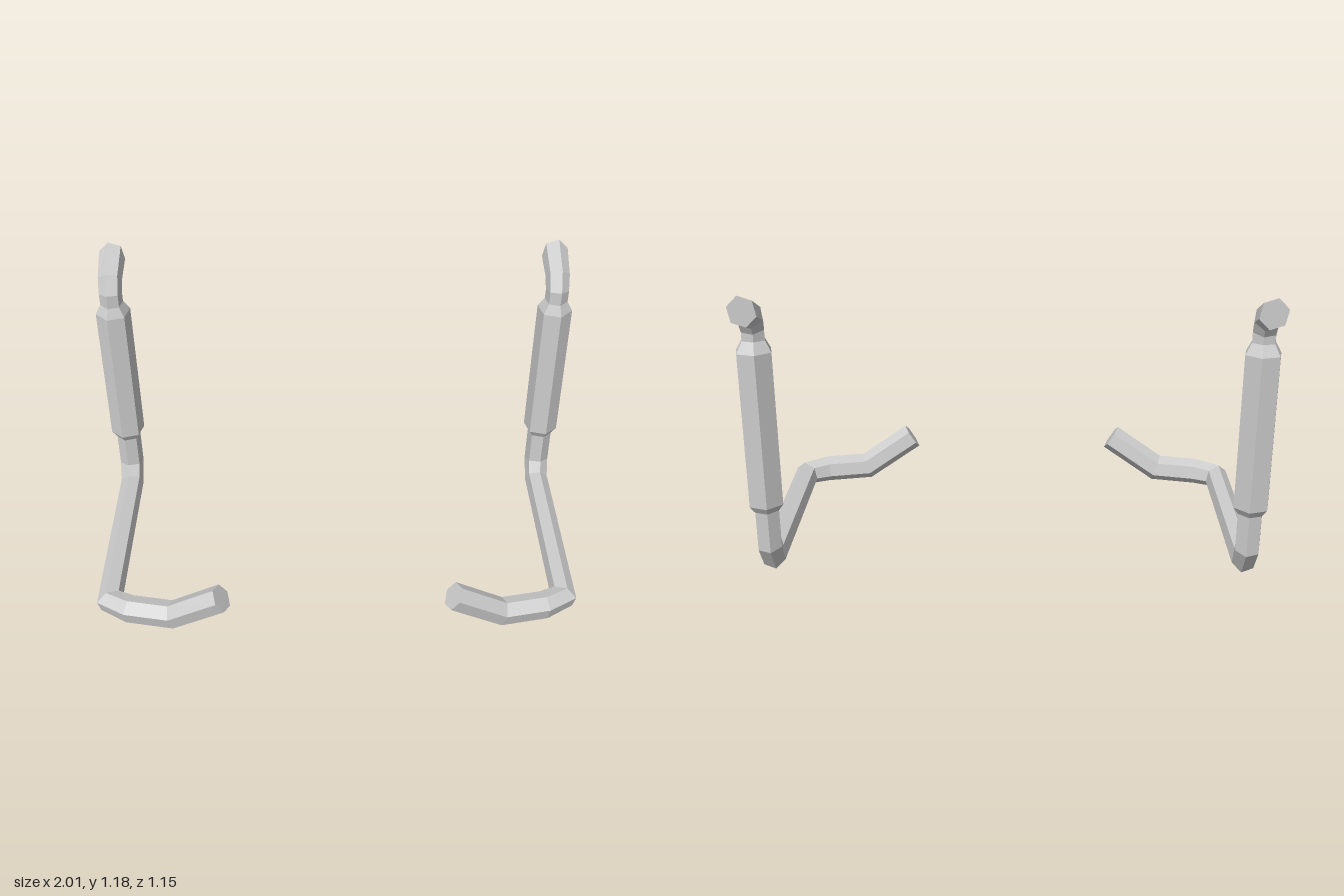
import * as THREE from 'three';

const SIDES = 6;
const TWIST = THREE.MathUtils.degToRad(13);

// Pipe stations from the tail end to the front tip: x, y, z, radius
const STATIONS = [
  [0.933, 1.124, -0.575, 0.055],
  [0.933, 1.074, -0.463, 0.05],
  [0.933, 1.02, -0.433, 0.048],
  [0.933, 0.975, -0.433, 0.048],
  [0.933, 0.932, -0.439, 0.073],
  [0.933, 0.315, -0.433, 0.073],
  [0.933, 0.285, -0.432, 0.052],
  [0.933, 0.13, -0.429, 0.052],
  [0.933, 0.055, -0.38, 0.05],
  [0.933, 0.055, 0.393, 0.05],
  [0.845, 0.056, 0.443, 0.056],
  [0.668, 0.057, 0.478, 0.056],
  [0.46, 0.19, 0.522, 0.057],
];

// Named sections: first and last station
const PARTS = [
  ['tailPipe', 0, 3],
  ['muffler', 3, 6],
  ['lowerBend', 6, 8],
  ['floorPipe', 8, 9],
  ['frontPipe', 9, 12],
];

// Hexagonal rings, mitred where the pipe bends
function makeRings() {
  const pts = STATIONS.map(([x, y, z]) => new THREE.Vector3(x, y, z));
  const last = pts.length - 1;
  const dirs = pts.slice(1).map((p, i) => p.clone().sub(pts[i]).normalize());
  const xAxis = new THREE.Vector3(1, 0, 0);
  const up = dirs[0].clone().cross(xAxis);
  const offsets = Array.from({ length: SIDES }, (_, j) => {
    const a = TWIST + (j / SIDES) * Math.PI * 2;
    return up.clone().multiplyScalar(Math.cos(a)).addScaledVector(xAxis, Math.sin(a));
  });
  return pts.map((p, k) => {
    const d = dirs[Math.max(k - 1, 0)];
    const next = dirs[Math.min(k, last - 1)];
    // The tail end is cut upright
    const n = k === 0 ? new THREE.Vector3(0, 0, 1) : d.clone().add(next).normalize();
    const ring = offsets.map((o) => {
      const v = o.clone().addScaledVector(d, -o.dot(n) / d.dot(n));
      return v.multiplyScalar(STATIONS[k][3]).add(p);
    });
    const turn = new THREE.Quaternion().setFromUnitVectors(d, next);
    offsets.forEach((o) => o.applyQuaternion(turn));
    return ring;
  });
}

// Skin a run of rings; side -1 mirrors it across x
function skin(rings, side, capStart, capEnd) {
  const pos = [];
  const tri = (a, b, c) => {
    for (const v of side > 0 ? [a, b, c] : [a, c, b]) pos.push(v.x * side, v.y, v.z);
  };
  for (let k = 0; k < rings.length - 1; k++) {
    const r = rings[k], q = rings[k + 1];
    for (let j = 0; j < SIDES; j++) {
      const m = (j + 1) % SIDES;
      tri(r[j], q[j], q[m]);
      tri(r[j], q[m], r[m]);
    }
  }
  const end = rings[rings.length - 1];
  for (let j = 1; j < SIDES - 1; j++) {
    if (capStart) tri(rings[0][0], rings[0][j], rings[0][j + 1]);
    if (capEnd) tri(end[0], end[j + 1], end[j]);
  }
  const geo = new THREE.BufferGeometry();
  geo.setAttribute('position', new THREE.Float32BufferAttribute(pos, 3));
  geo.computeVertexNormals();
  return geo;
}

export function createModel() {
  const model = new THREE.Group();
  model.name = 'exhaustPipes';
  const material = new THREE.MeshStandardMaterial({ color: 0xcccccc, flatShading: true });
  const rings = makeRings();
  for (const side of [1, -1]) {
    const pipe = new THREE.Group();
    pipe.name = side > 0 ? 'leftExhaust' : 'rightExhaust';
    for (const [name, from, to] of PARTS) {
      const geo = skin(rings.slice(from, to + 1), side, from === 0, to === rings.length - 1);
      const mesh = new THREE.Mesh(geo, material);
      mesh.name = name;
      pipe.add(mesh);
    }
    model.add(pipe);
  }
  return model;
}
